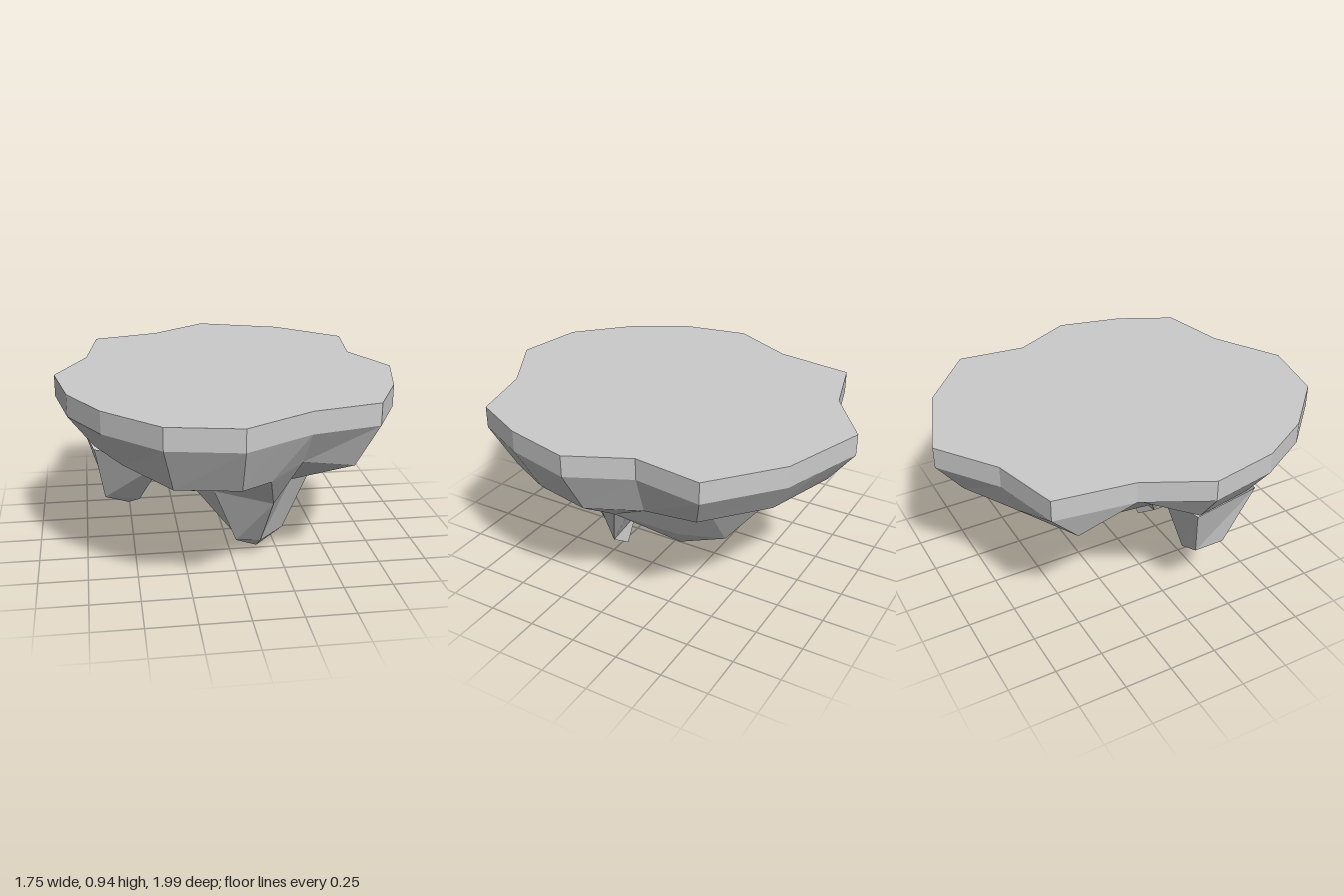
import * as THREE from 'three';

const TOP = 0.94, RIM = 0.828;

// Plateau outline (x, z), running from the back round by +x
const outline = [
  [0, -1], [0.22, -0.9225], [0.44, -0.845], [0.768, -0.565], [0.725, -0.21], [0.873, 0.1],
  [0.79, 0.44], [0.65, 0.718], [0.305, 0.797], [0.135, 0.894], [-0.035, 0.993], [-0.39, 0.923],
  [-0.655, 0.66], [-0.81, 0.385], [-0.875, 0.04], [-0.71, -0.285], [-0.65, -0.69], [-0.3, -0.785],
];

// Lower edge of the sloping cliff, one point under each outline point
const cliffFoot = [
  [0, 0.66, -0.87], [0.19, 0.66, -0.81], [0.38, 0.66, -0.75], [0.67, 0.66, -0.5],
  [0.62, 0.595, -0.185], [0.745, 0.595, 0.08], [0.68, 0.595, 0.38], [0.56, 0.595, 0.62],
  [0.29, 0.65, 0.68], [0.12, 0.595, 0.775], [-0.03, 0.595, 0.865], [-0.34, 0.595, 0.81],
  [-0.56, 0.64, 0.58], [-0.69, 0.66, 0.35], [-0.75, 0.66, 0.04], [-0.44, 0.645, -0.2],
  [-0.61, 0.66, -0.54], [-0.29, 0.66, -0.71],
];

// Flat-shaded mesh from polygons, each split as a fan from its first corner
function facetMesh(name, polygons) {
  const pos = [];
  for (const p of polygons)
    for (let i = 1; i < p.length - 1; i++) pos.push(...p[0], ...p[i], ...p[i + 1]);
  const geo = new THREE.BufferGeometry();
  geo.setAttribute('position', new THREE.Float32BufferAttribute(pos, 3));
  geo.computeVertexNormals();
  const mat = new THREE.MeshStandardMaterial({
    color: 0xcccccc, flatShading: true, side: THREE.DoubleSide,
  });
  const mesh = new THREE.Mesh(geo, mat);
  mesh.name = name;
  return mesh;
}

// Band of quads between two closed rings
const band = (outer, inner) => outer.map((p, i) => {
  const j = (i + 1) % outer.length;
  return [p, outer[j], inner[j], inner[i]];
});

// Triangles closing a ring to a point
const cone = (ring, tip) => ring.map((p, i) => [p, ring[(i + 1) % ring.length], tip]);

export function createModel() {
  const group = new THREE.Group();
  group.name = 'floatingIsland';

  // Flat plateau with its upright rim
  const top = outline.map(([x, z]) => [x, TOP, z]);
  const rim = outline.map(([x, z]) => [x, RIM, z]);
  group.add(facetMesh('plateau', [
    ...band(top, rim),
    ...cone([...top].reverse(), [0, TOP, 0]),
  ]));

  // Sloping cliff under the rim
  group.add(facetMesh('cliff', band(rim, cliffFoot)));

  // Corners of the rocky underside
  const b = cliffFoot;
  const shoulderBack = [0.5, 0.43, 0.07], shoulderFront = [0.3, 0.43, 0.36];
  const frontR = [0.175, 0.385, 0.555], frontL = [-0.1, 0.4, 0.39];
  const hip = [-0.19, 0.33, 0.11], saddle = [0.3, 0.32, 0.11], hollow = [-0.42, 0.59, 0.35];
  const backHi = [0.36, 0.54, -0.38], backLow = [0.12, 0.46, -0.575];
  const keelSide = [0.25, 0.24, -0.16], keelBack = [0.11, 0.2, -0.37], keelTip = [0.12, 0.095, -0.1];

  // Main underside with the rear keel
  group.add(facetMesh('underside', [
    [b[2], b[3], b[4], backHi],
    [b[1], b[2], backHi, backLow],
    [backHi, b[4], shoulderBack],
    [backHi, shoulderBack, keelSide],
    [backHi, keelSide, keelBack, backLow],
    [b[4], b[5], shoulderBack],
    [shoulderBack, b[5], b[6], b[7], shoulderFront],
    [b[7], b[8], shoulderFront],
    [b[8], b[9], frontR, shoulderFront],
    [b[9], b[10], frontL, frontR],
    [b[10], b[11], frontL],
    [hip, frontL, b[11]],
    [hollow, hip, b[11], b[12], b[13], b[14]],
    [hip, hollow, b[14]],
    [hip, b[14], b[15]],
    [keelBack, hip, b[15], b[16]],
    [keelBack, b[16], b[17]],
    [backLow, keelBack, b[17], b[0], b[1]],
    [shoulderBack, saddle, keelTip, keelSide],
    [keelSide, keelTip, keelBack],
    [hip, keelBack, keelTip],
    [hip, keelTip, saddle],
  ]));

  // Large front spike
  const a1 = [0.02, 0.1, 0.25], a2 = [0.02, 0.1, 0.35], a3 = [0.145, 0.1, 0.37], a4 = [0.29, 0.1, 0.22];
  group.add(facetMesh('frontSpike', [
    [frontR, frontL, a2, a3],
    [shoulderFront, frontR, a3],
    [shoulderFront, a3, a4, shoulderBack],
    [shoulderBack, a4, saddle],
    [saddle, a4, a1, hip],
    [frontL, hip, a1, a2],
    ...cone([a4, a3, a2, a1], [0.15, 0, 0.22]),
  ]));

  // Small spike on the -x side, rooted inside the underside
  const root = [[-0.69, 0.66, 0.4], [-0.745, 0.65, 0.03], [-0.46, 0.63, 0], [-0.36, 0.6, 0.47]];
  const end = [[-0.645, 0.345, 0.26], [-0.64, 0.34, 0.1], [-0.56, 0.325, 0.07], [-0.47, 0.32, 0.25]];
  group.add(facetMesh('sideSpike', [
    ...band(root, end),
    ...cone(end, [-0.525, 0.28, 0.19]),
  ]));

  return group;
}
